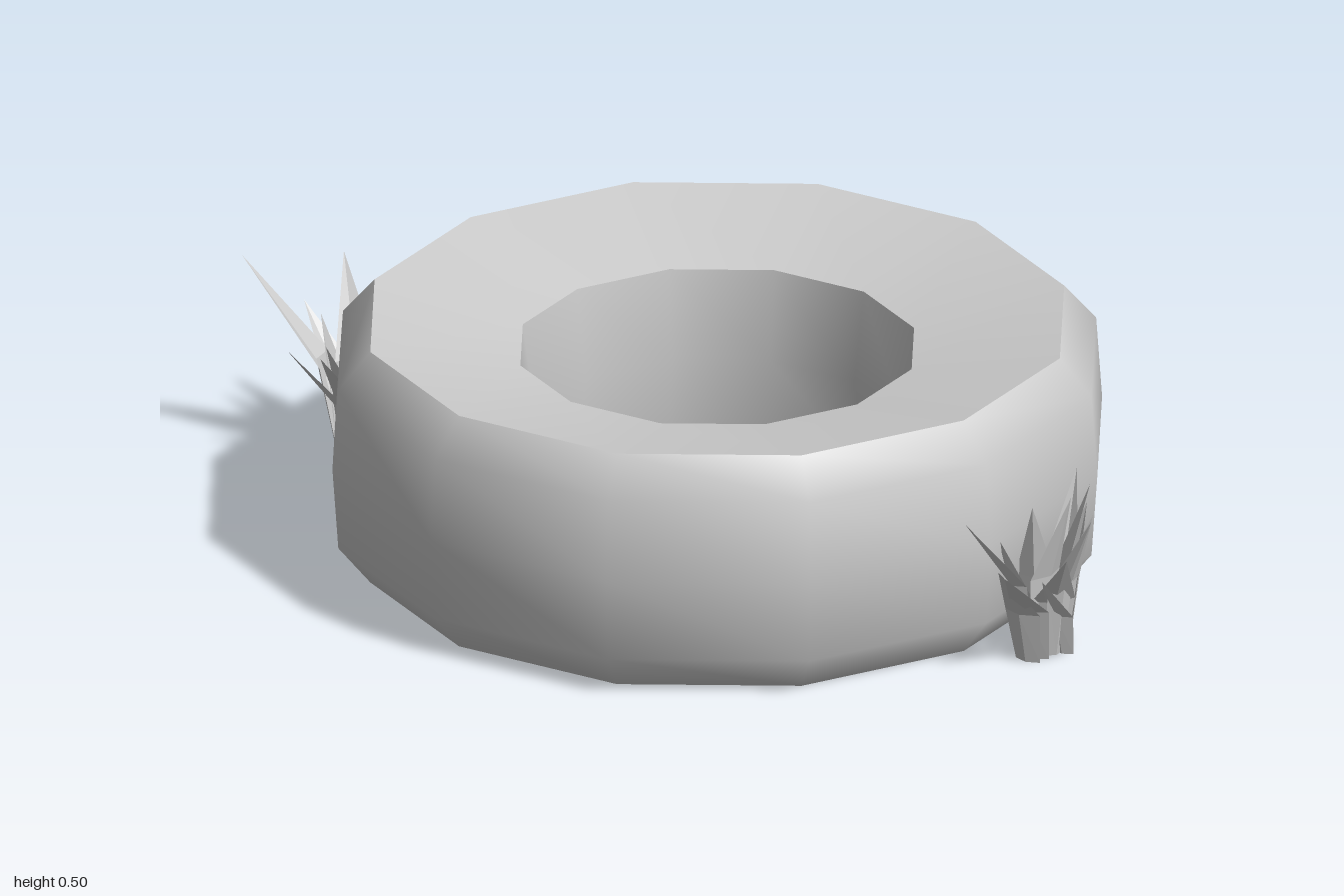
import * as THREE from 'three';

const rubber = new THREE.MeshStandardMaterial({ color: 0xcccccc });
rubber.name = 'tyre grey';
const grass = new THREE.MeshStandardMaterial({ color: 0xcccccc, side: THREE.DoubleSide, flatShading: true });
grass.name = 'grass grey';

// One ring of the tyre; separate rings keep the rim edges sharp
function ring(name, points) {
  const profile = points.map(([r, y]) => new THREE.Vector2(r, y));
  const mesh = new THREE.Mesh(new THREE.LatheGeometry(profile, 12), rubber);
  mesh.name = name;
  return mesh;
}

// Folded blade: upright broad stem, then a sharp tip bending outwards
function blade([rootX, rootZ, tipX, tipY, tipZ, width]) {
  const dx = tipX - rootX, dz = tipZ - rootZ;
  const lean = Math.hypot(dx, dz);
  const lx = dx / lean, lz = dz / lean;
  const positions = [];
  const row = (x, y, z, w, fold) => {
    for (const s of [-0.5, 0, 0.5]) {
      const f = s === 0 ? fold : 0;
      positions.push(x - s * w * lz + f * lx, y, z + s * w * lx + f * lz);
    }
  };
  row(rootX, 0, rootZ, width * 0.7, 0.01);
  row(rootX + dx * 0.18, tipY * 0.48, rootZ + dz * 0.18, width, 0.015);
  positions.push(tipX, tipY, tipZ);
  const geometry = new THREE.BufferGeometry();
  geometry.setAttribute('position', new THREE.Float32BufferAttribute(positions, 3));
  geometry.setIndex([0, 1, 4, 0, 4, 3, 1, 2, 5, 1, 5, 4, 3, 4, 6, 4, 5, 6]);
  geometry.computeVertexNormals();
  const mesh = new THREE.Mesh(geometry, grass);
  mesh.name = 'grassBlade';
  return mesh;
}

function tuft(name, blades) {
  const group = new THREE.Group();
  group.name = name;
  blades.forEach((b) => group.add(blade(b)));
  return group;
}

// Each blade: root x, root z, tip x, tip y, tip z, width
const leftBlades = [
  [0.86, -0.12, 0.99, 0.33, -0.10, 0.06],
  [0.85, -0.08, 0.93, 0.24, 0.08, 0.08],
  [0.83, -0.15, 0.87, 0.34, -0.21, 0.09],
  [0.80, -0.19, 0.77, 0.33, -0.27, 0.07],
  [0.83, -0.08, 0.85, 0.34, 0.11, 0.05],
  [0.84, -0.13, 0.95, 0.24, -0.07, 0.09],
  [0.83, -0.11, 0.91, 0.35, -0.12, 0.09],
  [0.84, -0.16, 0.92, 0.30, -0.17, 0.08],
  [0.82, -0.18, 0.83, 0.28, -0.24, 0.08],
  [0.85, -0.06, 0.88, 0.23, 0.05, 0.08],
  [0.80, -0.10, 0.79, 0.26, -0.03, 0.08],
  [0.87, -0.14, 0.89, 0.18, -0.06, 0.06],
  [0.79, -0.14, 0.81, 0.30, -0.11, 0.08],
];
const rightBlades = [
  [-0.84, 0.20, -1.0, 0.41, 0.32, 0.10],
  [-0.83, 0.17, -0.99, 0.27, 0.16, 0.09],
  [-0.82, 0.15, -0.85, 0.30, -0.04, 0.10],
  [-0.84, 0.15, -0.96, 0.36, 0.08, 0.09],
  [-0.79, 0.16, -0.73, 0.30, 0.07, 0.09],
  [-0.70, 0.27, -0.65, 0.33, 0.44, 0.08],
  [-0.73, 0.23, -0.68, 0.30, 0.25, 0.09],
  [-0.81, 0.20, -0.86, 0.25, 0.33, 0.09],
  [-0.76, 0.23, -0.77, 0.28, 0.31, 0.10],
  [-0.78, 0.19, -0.80, 0.31, 0.13, 0.10],
  [-0.86, 0.18, -0.90, 0.28, 0.20, 0.09],
  [-0.72, 0.21, -0.72, 0.27, 0.13, 0.08],
  [-0.79, 0.21, -0.72, 0.29, 0.20, 0.10],
  [-0.82, 0.18, -0.78, 0.26, 0.24, 0.09],
  [-0.86, 0.14, -0.89, 0.24, 0.07, 0.07],
];

export function createModel() {
  const model = new THREE.Group();
  model.name = 'tyreWithGrass';

  // Tyre lying flat, its sidewalls dished towards the hole
  const tyre = new THREE.Group();
  tyre.name = 'tyre';
  tyre.position.x = 0.024;
  tyre.add(
    ring('tread', [[0.705, 0], [0.77, 0.08], [0.782, 0.25], [0.77, 0.42], [0.705, 0.495]]),
    ring('topSidewall', [[0.705, 0.495], [0.4, 0.435]]),
    ring('innerWall', [[0.4, 0.435], [0.375, 0.25], [0.4, 0.06]]),
    ring('bottomSidewall', [[0.4, 0.06], [0.705, 0]]),
  );
  model.add(tyre);

  // Grass growing against both sides
  model.add(tuft('leftGrass', leftBlades), tuft('rightGrass', rightBlades));
  return model;
}
